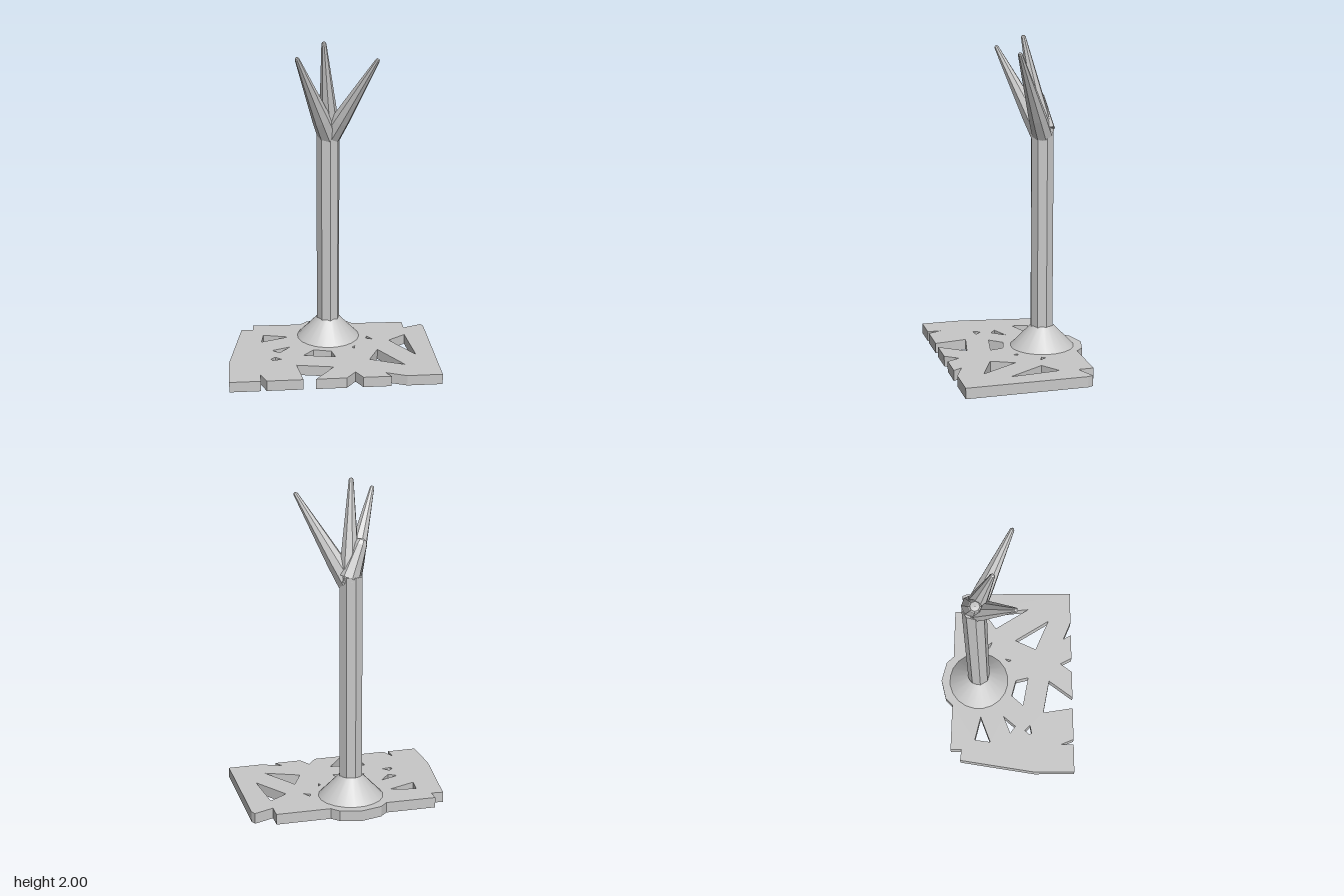
import * as THREE from 'three';

const POLE_Z = -0.19;

// Flat [x, z, x, z, ...] list to 2D points; shape y is -z so the plate lies flat after rotation
function points(list) {
  const out = [];
  for (let i = 0; i < list.length; i += 2) out.push(new THREE.Vector2(list[i], -list[i + 1]));
  return out;
}

export function createModel() {
  const model = new THREE.Group();
  const grey = new THREE.MeshStandardMaterial({ color: 0xc8c8c8, flatShading: true });
  grey.name = 'grey';
  const smoothGrey = new THREE.MeshStandardMaterial({ color: 0xc8c8c8 });
  smoothGrey.name = 'smooth grey';

  function add(name, geometry, material = grey) {
    const mesh = new THREE.Mesh(geometry, material);
    mesh.name = name;
    model.add(mesh);
    return mesh;
  }

  // Broken base plate with a ragged rim and jagged holes (rim runs counter-clockwise)
  const outline = new THREE.Shape(points([
    -0.643, 0.448, -0.643, 0.18, -0.56, -0.318, -0.485, -0.31, -0.485, -0.383, -0.172, -0.374,
    -0.125, -0.42, 0.002, -0.45, 0.132, -0.416, 0.175, -0.368, 0.507, -0.36, 0.507, -0.265,
    0.627, -0.313, 0.641, -0.28, 0.641, 0.448, 0.425, 0.448, 0.3, 0.395, 0.33, 0.448,
    0.16, 0.448, 0.12, 0.37, 0.06, 0.448, -0.125, 0.448, -0.005, 0.29, -0.23, 0.247,
    -0.2, 0.448, -0.42, 0.448, -0.455, 0.36, -0.455, 0.448,
  ]).reverse());
  const holes = [
    [-0.42, -0.22, -0.26, -0.18, -0.435, -0.115],
    [-0.255, -0.025, -0.325, 0.055, -0.373, 0.02],
    [-0.355, 0.12, -0.318, 0.155, -0.375, 0.165, -0.383, 0.147],
    [-0.11, 0.032, 0, 0.062, 0.02, 0.146, -0.178, 0.108],
    [0.292, 0.06, 0.435, 0.292, 0.226, 0.2],
    [0.495, -0.153, 0.523, 0.152, 0.382, -0.075],
    [0.247, -0.15, 0.28, -0.1, 0.237, -0.12],
    [0.157, -0.01, 0.137, 0.01, 0.147, 0.032],
  ];
  for (const hole of holes) outline.holes.push(new THREE.Path(points(hole)));
  const plate = new THREE.ExtrudeGeometry(outline, { depth: 0.065, bevelEnabled: false });
  add('basePlate', plate.rotateX(-Math.PI / 2));

  // Conical foot
  const foot = new THREE.CylinderGeometry(0.07, 0.2, 0.135, 20, 1, true, Math.PI / 20);
  add('foot', foot, smoothGrey).position.set(0, 0.1325, POLE_Z - 0.003);

  // Eight-sided trunk
  const trunk = new THREE.CylinderGeometry(0.073, 0.073, 1.28, 8, 1, false, 0.14);
  add('trunk', trunk).position.set(0, 0.8, POLE_Z);

  // Tapered branch with a rounded tip, running from one point to another
  function addBranch(name, from, to, r0, r1) {
    const start = new THREE.Vector3(...from);
    const axis = new THREE.Vector3(...to).sub(start);
    const length = axis.length();
    const profile = [
      [0, 0], [r0, 0], [r0 * 0.88, length * 0.22], [r1, length - r1],
      [r1 * 0.7, length - r1 * 0.3], [0, length],
    ].map(([r, y]) => new THREE.Vector2(r, y));
    const branch = add(name, new THREE.LatheGeometry(profile, 8));
    branch.position.copy(start);
    branch.quaternion.setFromUnitVectors(new THREE.Vector3(0, 1, 0), axis.normalize());
  }
  addBranch('rightBranch', [0.002, 1.4, -0.18], [-0.204, 1.93, 0.05], 0.066, 0.014);
  addBranch('middleBranch', [0.012, 1.4, -0.195], [-0.034, 2.0, -0.075], 0.064, 0.015);
  addBranch('leftBranch', [0.016, 1.4, -0.185], [0.28, 1.912, 0.033], 0.064, 0.014);
  addBranch('brokenStub', [0.015, 1.43, -0.198], [-0.076, 1.66, -0.178], 0.068, 0.04);

  return model;
}
